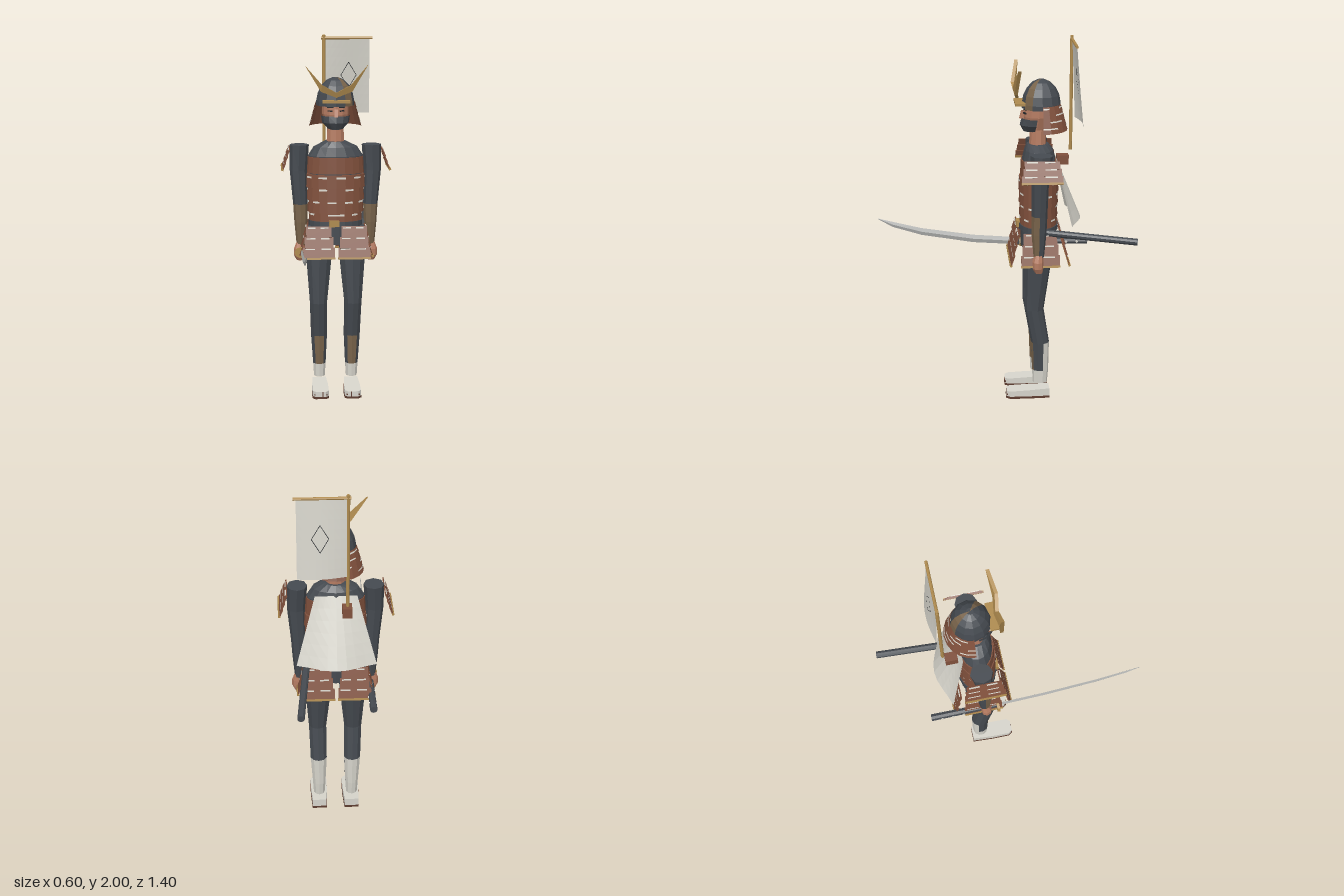
import * as THREE from 'three';

const make = (color, side = THREE.FrontSide) =>
  new THREE.MeshStandardMaterial({ color, side, flatShading: true });

export function createModel() {
  const mats = {
    darkCloth: make(0x454a50),
    lacquer: make(0x80503c, THREE.DoubleSide),
    brass: make(0xae8a4e),
    skin: make(0xb67c62),
    whiteCloth: make(0xd6d4cb, THREE.DoubleSide),
    tanCloth: make(0x78634a),
    steel: make(0xb4b5b3),
    black: make(0x24272a, THREE.DoubleSide),
    sole: make(0x5e3d30),
  };
  for (const k in mats) mats[k].name = k;
  const root = new THREE.Group();
  root.name = 'armouredWarrior';

  const add = (name, geo, mat, pos = [0, 0, 0], parent = root) => {
    const m = new THREE.Mesh(geo, mats[mat]);
    m.name = name;
    m.position.set(...pos);
    parent.add(m);
    return m;
  };
  const box = (name, size, pos, mat, parent) => add(name, new THREE.BoxGeometry(...size), mat, pos, parent);

  // Elliptical rings [x, y, z, rx, rz] from top to bottom; pick(ring, angle) gives a colour or null for a gap
  const loft = (name, rings, sides, pick, capped = true) => {
    const g = new THREE.Group();
    g.name = name;
    const sets = {};
    const put = (key, ...pts) => key && (sets[key] ||= []).push(...pts.flat());
    const P = (i, j) => {
      const [x, y, z, rx, rz] = rings[i], a = (j / sides) * Math.PI * 2;
      return [x + Math.sin(a) * rx, y, z + Math.cos(a) * rz];
    };
    const last = rings.length - 1;
    for (let j = 0; j < sides; j++) {
      const a = ((j + 0.5) / sides) * Math.PI * 2;
      const col = (i) => (typeof pick === 'string' ? pick : pick(i, a, j));
      for (let i = 0; i < last; i++) {
        put(col(i), P(i, j), P(i + 1, j), P(i + 1, j + 1), P(i, j), P(i + 1, j + 1), P(i, j + 1));
      }
      if (capped) {
        put(col(0), rings[0].slice(0, 3), P(0, j), P(0, j + 1));
        put(col(last - 1), rings[last].slice(0, 3), P(last, j + 1), P(last, j));
      }
    }
    for (const key in sets) {
      const geo = new THREE.BufferGeometry();
      geo.setAttribute('position', new THREE.Float32BufferAttribute(sets[key], 3));
      geo.computeVertexNormals();
      add(name, geo, key, [0, 0, 0], g);
    }
    root.add(g);
    return g;
  };

  const rod = (name, a, b, r, mat, sides = 8) => {
    const A = new THREE.Vector3(...a), B = new THREE.Vector3(...b), d = B.clone().sub(A);
    const m = add(name, new THREE.CylinderGeometry(r, r, d.length(), sides), mat, A.add(B).multiplyScalar(0.5).toArray());
    m.quaternion.setFromUnitVectors(new THREE.Vector3(0, 1, 0), d.normalize());
  };

  // Hanging panel of three overlapping lames with lacing and a brass rim
  const panel = (name, pos, turn, tilt, w0, w1, h) => {
    const g = new THREE.Group();
    g.name = name;
    g.position.set(...pos);
    g.rotation.set(-tilt, turn, 0, 'YXZ');
    const lh = h / 3;
    for (let k = 0; k < 3; k++) {
      const w = w0 + ((w1 - w0) * k) / 2, y = -lh * (k + 0.5);
      box('lame', [w, lh * 1.08, 0.006], [0, y, 0], 'lacquer', g).rotation.x = -0.1;
      for (const s of [-0.28, 0.22]) {
        box('lacing', [w * 0.3, 0.007, 0.009], [s * w, y + lh * 0.38, 0.001], 'whiteCloth', g);
      }
    }
    box('rim', [w1 + 0.004, 0.011, 0.012], [0, -h, 0.003], 'brass', g);
    root.add(g);
  };

  const C = -0.178;
  for (const s of [-1, 1]) {
    const side = s > 0 ? 'left' : 'right';
    // Leg with a tan shin, white calf and sock
    loft(side + 'Leg', [
      [s * 0.09, 0.95, -0.175, 0.078, 0.08], [s * 0.093, 0.78, -0.172, 0.074, 0.07],
      [s * 0.097, 0.52, -0.152, 0.05, 0.052], [s * 0.093, 0.325, -0.186, 0.047, 0.05],
      [s * 0.091, 0.16, -0.188, 0.037, 0.045], [s * 0.091, 0.085, -0.187, 0.032, 0.04],
    ], 10, (i, a) => {
      if (i === 4) return 'whiteCloth';
      if (i < 3) return 'darkCloth';
      return Math.cos(a) > 0.6 ? 'tanCloth' : Math.cos(a) < -0.05 ? 'whiteCloth' : 'darkCloth';
    });

    // Sandal: sole and sloping split-toed foot
    const foot = (depth, inset) => {
      const w = 0.047 - inset, f = -0.002 + inset, shape = new THREE.Shape();
      shape.moveTo(-w * 0.85, 0.24 - inset);
      shape.lineTo(-w, 0.12);
      shape.lineTo(-w, 0.02);
      shape.lineTo(-w * 0.65, f);
      shape.lineTo(w * 0.65, f);
      shape.lineTo(w, 0.02);
      shape.lineTo(w, 0.12);
      shape.lineTo(w * 0.85, 0.24 - inset);
      return new THREE.ExtrudeGeometry(shape, { depth, bevelEnabled: false }).rotateX(-Math.PI / 2);
    };
    add(side + 'Sole', foot(0.012, 0), 'sole', [s * 0.09, 0, 0]);
    const upper = foot(0.043, 0.002), p = upper.attributes.position;
    for (let i = 0; i < p.count; i++) if (p.getY(i) > 0.01) p.setY(i, 0.03 - p.getZ(i) * 0.055);
    upper.computeVertexNormals();
    add(side + 'Foot', upper, 'whiteCloth', [s * 0.09, 0.012, 0]);
    box(side + 'ToeSplit', [0.005, 0.028, 0.006], [s * 0.08, 0.026, -0.001], 'sole');
    box(side + 'Thong', [0.075, 0.007, 0.006], [s * 0.09, 0.024, -0.004], 'sole');

    // Arm with a tan forearm front, and a closed hand
    loft(side + 'Arm', [
      [s * 0.2, 1.41, -0.18, 0.054, 0.06], [s * 0.205, 1.27, -0.172, 0.048, 0.046],
      [s * 0.195, 1.08, -0.17, 0.04, 0.042], [s * 0.193, 0.98, -0.168, 0.036, 0.04],
      [s * 0.192, 0.85, -0.168, 0.025, 0.028],
    ], 8, (i, a) => (i > 1 && Math.cos(a) > 0.3 ? 'tanCloth' : 'darkCloth'));
    loft(side + 'Hand', [
      [s * 0.195, 0.87, -0.168, 0.021, 0.022], [s * 0.2, 0.825, -0.163, 0.033, 0.03],
      [s * 0.2, 0.79, -0.163, 0.033, 0.03], [s * 0.198, 0.762, -0.168, 0.02, 0.02],
    ], 8, 'skin');

    // Shoulder guards and skirt panels
    panel(side + 'ShoulderGuard', [s * 0.256, 1.393, C], (s * Math.PI) / 2, 0.31, 0.185, 0.215, 0.115);
    panel(side + 'FrontSkirt', [s * 0.097, 0.968, -0.062], 0, 0.22, 0.14, 0.175, 0.175);
    panel(side + 'BackSkirt', [s * 0.097, 0.968, -0.294], Math.PI, 0.22, 0.14, 0.175, 0.175);
    panel(side + 'SideSkirt', [s * 0.162, 0.968, C], (s * Math.PI) / 2, 0.22, 0.18, 0.208, 0.175);
  }

  // Body under the armour
  loft('body', [
    [0, 1.43, -0.172, 0.06, 0.06], [0, 1.4, C, 0.12, 0.078], [0, 1.35, C, 0.152, 0.09],
    [0, 1.2, C, 0.15, 0.095], [0, 1, C, 0.135, 0.095], [0, 0.86, C, 0.14, 0.095],
  ], 16, 'darkCloth');

  // Cuirass: overlapping lames with broken white lacing
  const lames = [
    [1.345, 1.255, 0.155, 0.16, 0.1], [1.25, 1.178, 0.163, 0.168, 0.109], [1.182, 1.108, 0.157, 0.163, 0.107],
    [1.112, 1.038, 0.151, 0.157, 0.105], [1.042, 0.965, 0.144, 0.15, 0.103],
  ];
  lames.forEach(([y0, y1, r0, r1, rz], k) => {
    loft('cuirassLame', [[0, y0, C, r0, rz - 0.004], [0, y1, C, r1, rz]], 20, 'lacquer');
    if (k) loft('cuirassLacing', [[0, y0 - 0.01, C, r0 + 0.004, rz], [0, y0 - 0.02, C, r0 + 0.005, rz + 0.001]], 20,
      (i, a, j) => ((j * 3 + k * 2) % 7 < 3 ? 'whiteCloth' : null), false);
  });
  loft('waistBelt', [[0, 0.99, C, 0.151, 0.106], [0, 0.962, C, 0.151, 0.108]], 20, 'darkCloth');
  box('buckle', [0.055, 0.034, 0.02], [-0.012, 0.983, -0.068], 'brass');
  box('beltKnot', [0.028, 0.1, 0.012], [0, 0.915, -0.068], 'darkCloth');

  // Neck, head and face
  loft('neck', [[0, 1.53, -0.175, 0.046, 0.044], [0, 1.42, -0.172, 0.05, 0.046]], 10, 'skin');
  loft('head', [[0, 1.67, -0.178, 0.075, 0.08], [0, 1.58, -0.174, 0.073, 0.08], [0, 1.51, -0.165, 0.048, 0.06]], 12, 'skin');
  loft('faceMask', [
    [0, 1.572, -0.165, 0.08, 0.08], [0, 1.535, -0.16, 0.074, 0.084], [0, 1.5, -0.155, 0.042, 0.06],
  ], 12, (i, a) => (Math.cos(a) > 0 ? 'darkCloth' : null), false);
  loft('chinPlate', [[0, 1.535, -0.15, 0.05, 0.06], [0, 1.498, -0.15, 0.035, 0.05]], 8, 'darkCloth');
  box('nose', [0.018, 0.042, 0.028], [0, 1.587, -0.092], 'skin').rotation.x = -0.25;
  for (const s of [-1, 1]) {
    box('eye', [0.026, 0.007, 0.008], [s * 0.032, 1.602, -0.1], 'black').rotation.y = s * 0.35;
    box('brow', [0.034, 0.006, 0.008], [s * 0.032, 1.622, -0.103], 'black').rotation.y = s * 0.35;
  }

  // Helmet bowl with two painted segments
  loft('helmetBowl', [
    [0, 1.778, -0.19, 0.018, 0.018], [0, 1.763, -0.19, 0.05, 0.05], [0, 1.735, -0.19, 0.077, 0.077],
    [0, 1.695, -0.19, 0.096, 0.096], [0, 1.65, -0.19, 0.105, 0.104], [0, 1.625, -0.19, 0.105, 0.104],
  ], 12, (i, a, j) => (j === 1 || j === 6 ? 'tanCloth' : 'darkCloth'));

  // Flared neck guard around the sides and back
  for (let k = 0; k < 4; k++) {
    const y = 1.648 - k * 0.034, r = 0.106 + k * 0.009;
    const ring = (dy, dr) => [0, y + dy, -0.192, r + dr, r + dr - 0.006];
    const back = (a) => Math.cos(a) < 0.02;
    loft('neckGuardLame', [ring(0, 0), ring(-0.037, 0.013)], 20, (i, a) => (back(a) ? 'lacquer' : null), false);
    loft('neckGuardLacing', [ring(-0.007, 0.006), ring(-0.014, 0.009)], 20,
      (i, a, j) => (back(a) && (j + k) % 4 < 2 ? 'whiteCloth' : null), false);
  }

  // Visor and horned crest
  box('visor', [0.15, 0.013, 0.055], [0, 1.655, -0.075], 'brass');
  const crest = new THREE.Shape();
  [[0, 1.678], [0.085, 1.712], [0.17, 1.852], [0.078, 1.748], [0, 1.705],
    [-0.078, 1.748], [-0.17, 1.852], [-0.085, 1.712]].forEach(([x, y], i) => (i ? crest.lineTo(x, y) : crest.moveTo(x, y)));
  const horns = new THREE.ExtrudeGeometry(crest, { depth: 0.018, bevelEnabled: false });
  const hp = horns.attributes.position;
  for (let i = 0; i < hp.count; i++) {
    const y = hp.getY(i);
    hp.setZ(i, hp.getZ(i) - 0.07 + (y < 1.75 ? (y - 1.68) * 0.3 : 0.021 - (y - 1.75) * 0.25));
  }
  horns.computeVertexNormals();
  add('hornedCrest', horns, 'brass');

  // Banner on its pole
  rod('bannerPole', [-0.055, 1.38, -0.355], [-0.055, 2, -0.355], 0.009, 'brass');
  rod('bannerCrossbar', [-0.07, 1.983, -0.355], [0.217, 1.983, -0.355], 0.008, 'brass');
  box('poleBracket', [0.05, 0.052, 0.065], [-0.055, 1.327, -0.312], 'lacquer');
  const bannerZ = (x, y) => -0.357 - 0.045 * ((1.98 - y) / 0.42) * (0.4 + 0.6 * Math.sin(((x + 0.05) / 0.25) * 2.4));
  const drape = (geo, dz = 0) => {
    const q = geo.attributes.position;
    for (let i = 0; i < q.count; i++) q.setZ(i, bannerZ(q.getX(i), q.getY(i)) + dz);
    geo.computeVertexNormals();
    return geo;
  };
  add('banner', drape(new THREE.PlaneGeometry(0.25, 0.42, 8, 8).translate(0.077, 1.77, 0)), 'whiteCloth');
  for (const dz of [-0.003, 0.003]) {
    const diamond = new THREE.RingGeometry(0.92, 1, 4).scale(0.045, 0.075, 1).translate(0.085, 1.775, 0);
    add('bannerDiamond', drape(diamond, dz), 'black');
  }

  // Short cape, widening and swinging back
  const cape = new THREE.PlaneGeometry(2, 1, 8, 6), cp = cape.attributes.position;
  for (let i = 0; i < cp.count; i++) {
    const u = cp.getX(i), t = 0.5 - cp.getY(i);
    cp.setXYZ(i, u * (0.11 + 0.1 * t), 1.385 - 0.365 * t, -0.258 - 0.115 * t - 0.035 * t * Math.cos(u * 2.6));
  }
  cape.computeVertexNormals();
  add('cape', cape, 'whiteCloth');

  // Drawn sword, lofted along z: [x, z, -y, half thickness, half height]
  const alongZ = (name, rings, sides, mat) => (loft(name, rings, sides, mat).rotation.x = Math.PI / 2);
  alongZ('blade', [
    [-0.19, 0.7, -0.962, 0.001, 0.002], [-0.19, 0.62, -0.928, 0.005, 0.015], [-0.19, 0.46, -0.884, 0.006, 0.02],
    [-0.19, 0.17, -0.838, 0.007, 0.022], [-0.19, -0.07, -0.821, 0.007, 0.021], [-0.19, -0.12, -0.818, 0.007, 0.02],
  ], 4, 'steel');
  alongZ('swordGuard', [[-0.195, -0.09, -0.818, 0.037, 0.03], [-0.195, -0.105, -0.818, 0.037, 0.03]], 8, 'brass');
  alongZ('swordHandle', [[-0.188, -0.1, -0.817, 0.017, 0.017], [-0.188, -0.47, -0.817, 0.02, 0.019]], 8, 'darkCloth');
  for (let k = 0; k < 3; k++) {
    for (const s of [-1, 1]) {
      box('handleInlay', [0.004, 0.012, 0.012], [-0.188 + s * 0.019, 0.817, -0.29 - k * 0.06], 'whiteCloth').rotation.x = Math.PI / 4;
    }
  }

  // Scabbard at the left hip
  rod('scabbard', [0.148, 0.978, -0.16], [0.197, 0.926, -0.697], 0.019, 'darkCloth', 10);
  return root;
}
